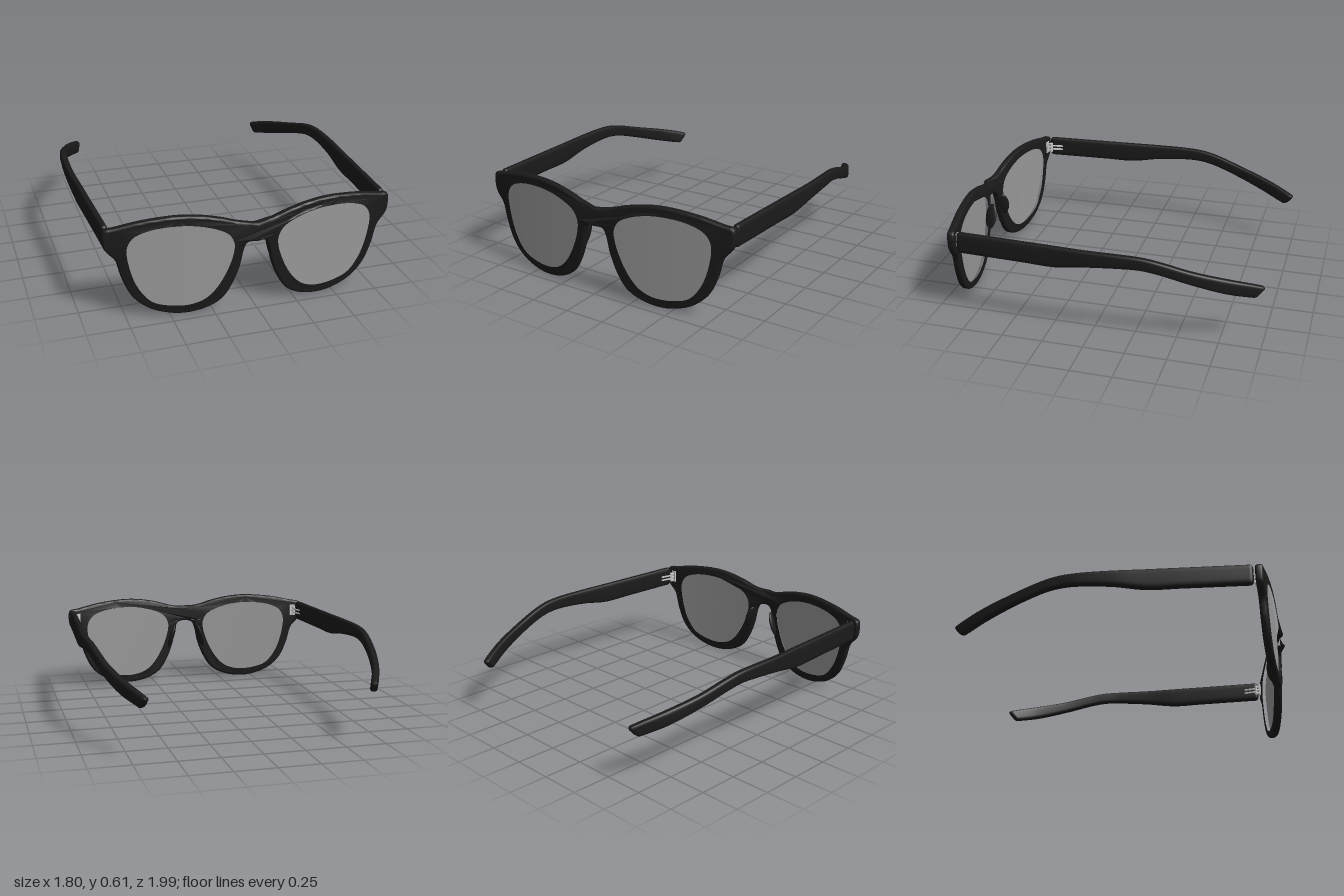
import * as THREE from 'three';
import { mergeVertices, toCreasedNormals } from 'three/addons/utils/BufferGeometryUtils.js';

const black = new THREE.MeshStandardMaterial({ color: 0x1a1a1a });
const metal = new THREE.MeshStandardMaterial({ color: 0xcccccc });
const lensMat = new THREE.MeshStandardMaterial({ color: 0x999999, side: THREE.DoubleSide });

// Wrap of the front: depth of its middle surface at a given x, y
function wrap(x, y) {
  const a = Math.abs(x);
  const lower = THREE.MathUtils.clamp((0.55 - y) / 0.1, 0, 1);
  return 0.955 - 0.07 * a - 0.06 * a * a + (0.016 + 0.008 * lower) * Math.exp(-((x / 0.05) ** 2));
}

function bend(geo) {
  const p = geo.attributes.position;
  for (let i = 0; i < p.count; i++) p.setZ(i, p.getZ(i) + wrap(p.getX(i), p.getY(i)));
  return geo;
}

// Smooth closed outline through a few points
function outline(points, count) {
  const curve = new THREE.CatmullRomCurve3(points.map(([x, y]) => new THREE.Vector3(x, y, 0)), true);
  return curve.getPoints(count).slice(0, -1).map(v => new THREE.Vector2(v.x, v.y));
}

const mirror = pts => pts.map(([x, y]) => [-x, y]).reverse();

// Outer edge of one half, from the bridge top round to the bridge underside
const rimHalf = [
  [0.09, 0.553], [0.2, 0.585], [0.32, 0.61], [0.45, 0.62], [0.65, 0.603], [0.8, 0.573], [0.848, 0.565],
  [0.862, 0.55], [0.86, 0.46], [0.84, 0.425], [0.797, 0.375], [0.765, 0.26], [0.71, 0.14],
  [0.63, 0.065], [0.54, 0.025], [0.43, 0.006], [0.3, 0.024], [0.2, 0.077], [0.14, 0.165],
  [0.095, 0.28], [0.073, 0.385], [0.053, 0.426],
];
const lensEdge = [
  [0.118, 0.43], [0.15, 0.493], [0.225, 0.537], [0.345, 0.57], [0.465, 0.579], [0.61, 0.564],
  [0.706, 0.523], [0.747, 0.453], [0.733, 0.31], [0.685, 0.18], [0.61, 0.09], [0.51, 0.055],
  [0.39, 0.048], [0.295, 0.077], [0.225, 0.14], [0.16, 0.25], [0.121, 0.366],
];

// Front frame with two lens openings and rounded edges
function frameGeometry() {
  const shape = new THREE.Shape(outline([[0, 0.545], ...rimHalf, [0, 0.436], ...mirror(rimHalf)], 220));
  for (const edge of [lensEdge, mirror(lensEdge)]) shape.holes.push(new THREE.Path(outline(edge, 100)));
  const bevel = 0.014, depth = 0.018;
  const geo = new THREE.ExtrudeGeometry(shape, {
    depth, bevelThickness: bevel, bevelSize: bevel, bevelOffset: -bevel, bevelSegments: 4, steps: 1,
  });
  geo.translate(0, 0, -depth / 2);
  return toCreasedNormals(bend(geo), 0.6);
}

// Lens: rings shrinking from its edge to its middle, wrapped like the frame
function lensGeometry(s) {
  const n = 100, rings = 8, cx = 0.43, cy = 0.32, pos = [], index = [];
  const edge = outline(lensEdge, n);
  for (let r = 0; r <= rings; r++) {
    const k = 1.03 * (1 - r / rings);
    for (const p of edge) pos.push(s * (cx + (p.x - cx) * k), cy + (p.y - cy) * k, 0.004);
  }
  for (let r = 0; r < rings; r++) for (let j = 0; j < n; j++) {
    const a = r * n + j, b = r * n + (j + 1) % n, c = a + n, d = b + n;
    if (s > 0) index.push(a, c, b, b, c, d);
    else index.push(a, b, c, b, d, c);
  }
  const geo = new THREE.BufferGeometry();
  geo.setAttribute('position', new THREE.Float32BufferAttribute(pos, 3));
  geo.setIndex(index);
  bend(geo).computeVertexNormals();
  return geo;
}

// Temple arm: rounded section swept between a top line and a bottom line
function templeGeometry(s) {
  const top = [
    [0.838, 0.567, 0.82], [0.84, 0.567, 0.77], [0.857, 0.567, 0.4], [0.866, 0.567, 0.2], [0.876, 0.567, 0],
    [0.875, 0.567, -0.2], [0.867, 0.56, -0.32], [0.855, 0.54, -0.42], [0.82, 0.487, -0.6],
    [0.755, 0.433, -0.8], [0.69, 0.39, -0.94], [0.66, 0.368, -0.998],
  ];
  const bottom = [
    [0.838, 0.436, 0.82], [0.84, 0.436, 0.77], [0.857, 0.436, 0.4], [0.866, 0.436, 0.2], [0.876, 0.467, 0],
    [0.875, 0.485, -0.2], [0.867, 0.486, -0.3], [0.858, 0.47, -0.4], [0.824, 0.412, -0.59],
    [0.765, 0.35, -0.78], [0.71, 0.318, -0.89], [0.68, 0.304, -0.945],
  ];
  const line = pts => new THREE.CatmullRomCurve3(pts.map(p => new THREE.Vector3(...p)));
  const A = line(top), B = line(bottom), steps = (top.length - 1) * 8, n = 28, half = 0.022;
  const mid = t => A.getPoint(t).add(B.getPoint(t)).multiplyScalar(0.5);
  const pos = [], index = [], up = new THREE.Vector3(0, 1, 0);
  const soft = v => Math.sign(v) * Math.abs(v) ** 0.55;
  for (let i = 0; i <= steps; i++) {
    const t = i / steps, m = mid(t);
    const dir = mid(Math.min(1, t + 0.01)).sub(mid(Math.max(0, t - 0.01)));
    const side = dir.cross(up).normalize();
    const U = A.getPoint(t).sub(m);
    // both ends are rounded over
    const d = Math.min(half, m.distanceTo(mid(0)), m.distanceTo(mid(1))) / half;
    const round = Math.sqrt(Math.max(0, 1 - (1 - d) ** 2));
    U.setLength(U.length() - half * (1 - round));
    for (let j = 0; j < n; j++) {
      const a = j / n * Math.PI * 2;
      const p = m.clone().addScaledVector(side, half * round * soft(Math.cos(a))).addScaledVector(U, soft(Math.sin(a)));
      pos.push(s * p.x, p.y, p.z);
    }
  }
  for (let i = 0; i < steps; i++) for (let j = 0; j < n; j++) {
    const a = i * n + j, b = i * n + (j + 1) % n, c = a + n, d = b + n;
    if (s > 0) index.push(a, c, b, b, c, d);
    else index.push(a, b, c, b, d, c);
  }
  const geo = new THREE.BufferGeometry();
  geo.setAttribute('position', new THREE.Float32BufferAttribute(pos, 3));
  geo.setIndex(index);
  const merged = mergeVertices(geo, 1e-5);
  merged.computeVertexNormals();
  return merged;
}

// Hinge: plate on the frame, pin, knuckles and an arm running along the temple
function hinge(s) {
  const g = new THREE.Group();
  const add = (name, geo, x, y, z, ry = 0) => {
    const m = new THREE.Mesh(geo, metal);
    m.name = name;
    m.position.set(s * x, y, z);
    m.rotation.y = s * ry;
    g.add(m);
  };
  add('hingePlate', new THREE.BoxGeometry(0.034, 0.08, 0.014), 0.802, 0.5, 0.835);
  add('hingePin', new THREE.CylinderGeometry(0.006, 0.006, 0.07, 12), 0.802, 0.5, 0.806);
  for (const y of [-0.024, 0, 0.024]) {
    add('hingeKnuckle', new THREE.CylinderGeometry(0.012, 0.012, 0.014, 16), 0.802, 0.5 + y, 0.806);
    add('hingeTab', new THREE.BoxGeometry(0.012, 0.014, 0.03), 0.802, 0.5 + y, 0.82);
  }
  for (const y of [-0.012, 0.012])
    add('hingeArm', new THREE.BoxGeometry(0.008, 0.01, 0.09), 0.81, 0.5 + y, 0.765, -0.22);
  return g;
}

export function createModel() {
  const model = new THREE.Group();
  model.name = 'glasses';
  const add = (name, geo, mat) => {
    const m = new THREE.Mesh(geo, mat);
    m.name = name;
    model.add(m);
    return m;
  };
  add('frontFrame', frameGeometry(), black);
  for (const [s, side] of [[1, 'left'], [-1, 'right']]) {
    add(side + 'Lens', lensGeometry(s), lensMat);
    add(side + 'Temple', templeGeometry(s), black);
    // nose pad leaning back from the inner rim
    const pad = add(side + 'NosePad', new THREE.SphereGeometry(1, 24, 16), black);
    pad.scale.set(0.016, 0.085, 0.042);
    pad.position.set(s * 0.104, 0.33, 0.918);
    pad.rotation.set(0, -s * 0.3, s * 0.3);
    const h = hinge(s);
    h.name = side + 'Hinge';
    model.add(h);
  }
  return model;
}
